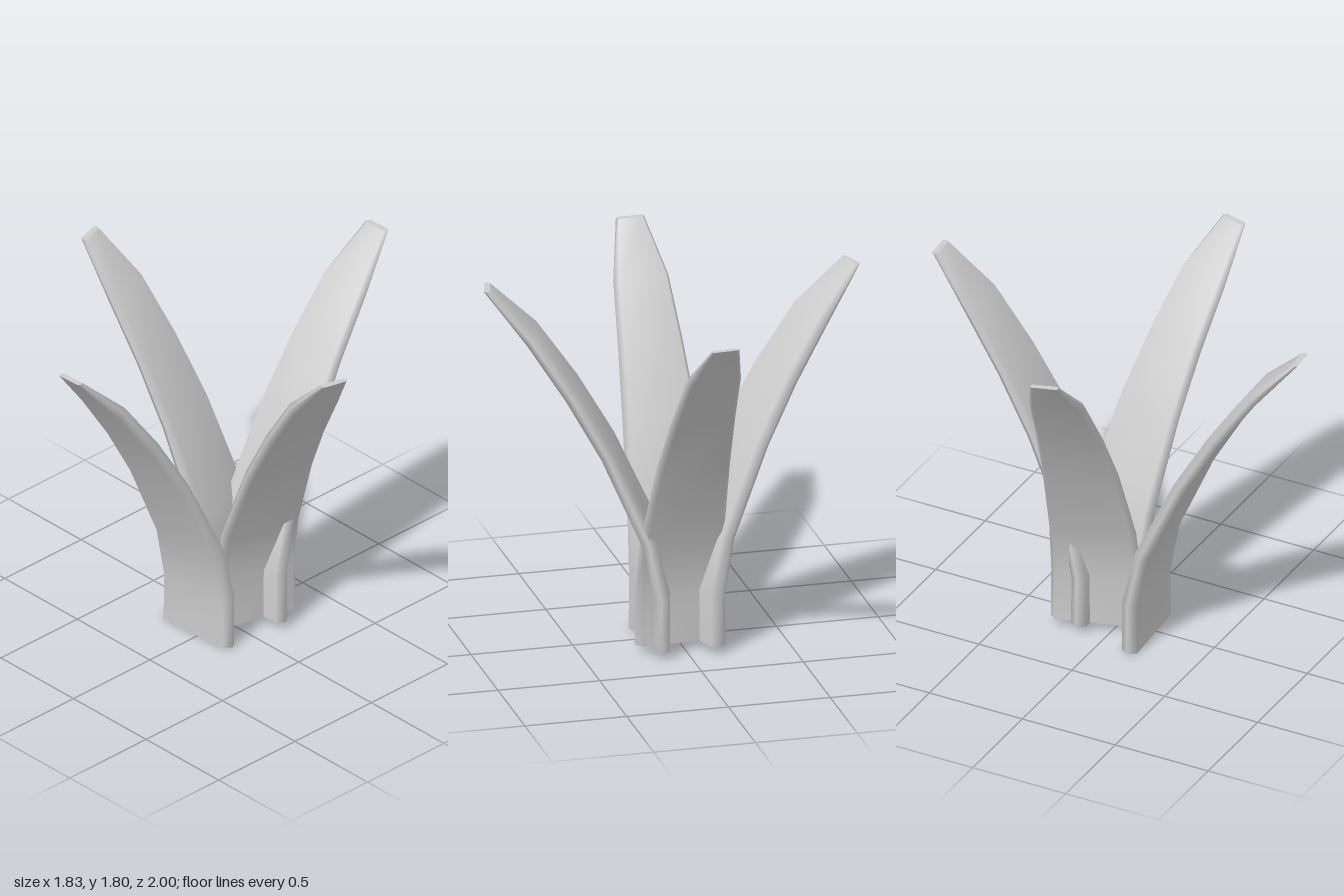
import * as THREE from 'three';

// Leaf rings from base to tip: height, outward travel (0..1), width, thickness
const RINGS = [
  [0, 0, 0.44, 0.08],
  [0.26, 0, 0.435, 0.078],
  [0.535, 0.07, 0.42, 0.07],
  [0.97, 0.31, 0.37, 0.066],
  [1.26, 0.515, 0.325, 0.066],
  [1.535, 0.745, 0.275, 0.06],
  [1.765, 1, 0.14, 0.03],
];
const REACH = 0.83;
const SIDES = 6;

// A thick blade with bevelled long edges; base and tip are [x, z], out is the facing
function leafGeometry(base, tip, out, lift) {
  const o = new THREE.Vector3(out[0], 0, out[1]).normalize();
  const up = new THREE.Vector3(0, 1, 0);
  const u = new THREE.Vector3().crossVectors(up, o);
  const pos = [], index = [];

  RINGS.forEach(([y, f, w, t], i) => {
    const centre = new THREE.Vector3(
      THREE.MathUtils.lerp(base[0], tip[0], f), y + lift,
      THREE.MathUtils.lerp(base[1], tip[1], f));
    // thickness lies across the bend, but the two ends are cut level
    const n = o.clone();
    if (i > 0 && i < RINGS.length - 1) {
      const [p, q] = [RINGS[i - 1], RINGS[i + 1]];
      n.multiplyScalar(q[0] - p[0]).addScaledVector(up, -(q[1] - p[1]) * REACH).normalize();
    }
    const a = w / 2, b = a - t * 0.35, h = t / 2;
    for (const [s, d] of [[a, 0], [b, h], [-b, h], [-a, 0], [-b, -h], [b, -h]]) {
      const v = centre.clone().addScaledVector(u, s).addScaledVector(n, d);
      pos.push(v.x, v.y, v.z);
    }
  });

  // skin between rings
  for (let i = 0; i < RINGS.length - 1; i++) {
    for (let j = 0; j < SIDES; j++) {
      const a = i * SIDES + j, b = i * SIDES + (j + 1) % SIDES;
      index.push(a, a + SIDES, b, b, a + SIDES, b + SIDES);
    }
  }
  // end caps on their own vertices, so their rims stay sharp
  const last = (RINGS.length - 1) * SIDES;
  for (const [start, top] of [[0, false], [last, true]]) {
    const k = pos.length / 3;
    pos.push(...pos.slice(start * 3, (start + SIDES) * 3));
    for (let j = 1; j < SIDES - 1; j++) {
      index.push(k, k + (top ? j + 1 : j), k + (top ? j : j + 1));
    }
  }

  const g = new THREE.BufferGeometry();
  g.setAttribute('position', new THREE.Float32BufferAttribute(pos, 3));
  g.setIndex(index);
  g.computeVertexNormals();
  return g;
}

export function createModel() {
  const plant = new THREE.Group();
  plant.name = 'leafCluster';
  const material = new THREE.MeshStandardMaterial({ color: 0xcccccc });

  // name, base [x, z], tip [x, z], facing [x, z], height of the foot
  const leaves = [
    ['frontLeaf', [-0.03, 0.15], [-0.04, 0.98], [0.06, 1], 0],
    ['backLeaf', [0.02, -0.15], [0.01, -0.98], [-0.06, -1], 0.035],
    ['leftLeaf', [0.09, -0.1], [0.885, 0.135], [0.96, 0.25], 0.035],
    ['rightLeaf', [-0.085, -0.09], [-0.88, 0.055], [-0.95, 0.3], 0.035],
  ];
  for (const [name, base, tip, out, lift] of leaves) {
    const leaf = new THREE.Mesh(leafGeometry(base, tip, out, lift), material);
    leaf.name = name;
    plant.add(leaf);
  }
  return plant;
}
